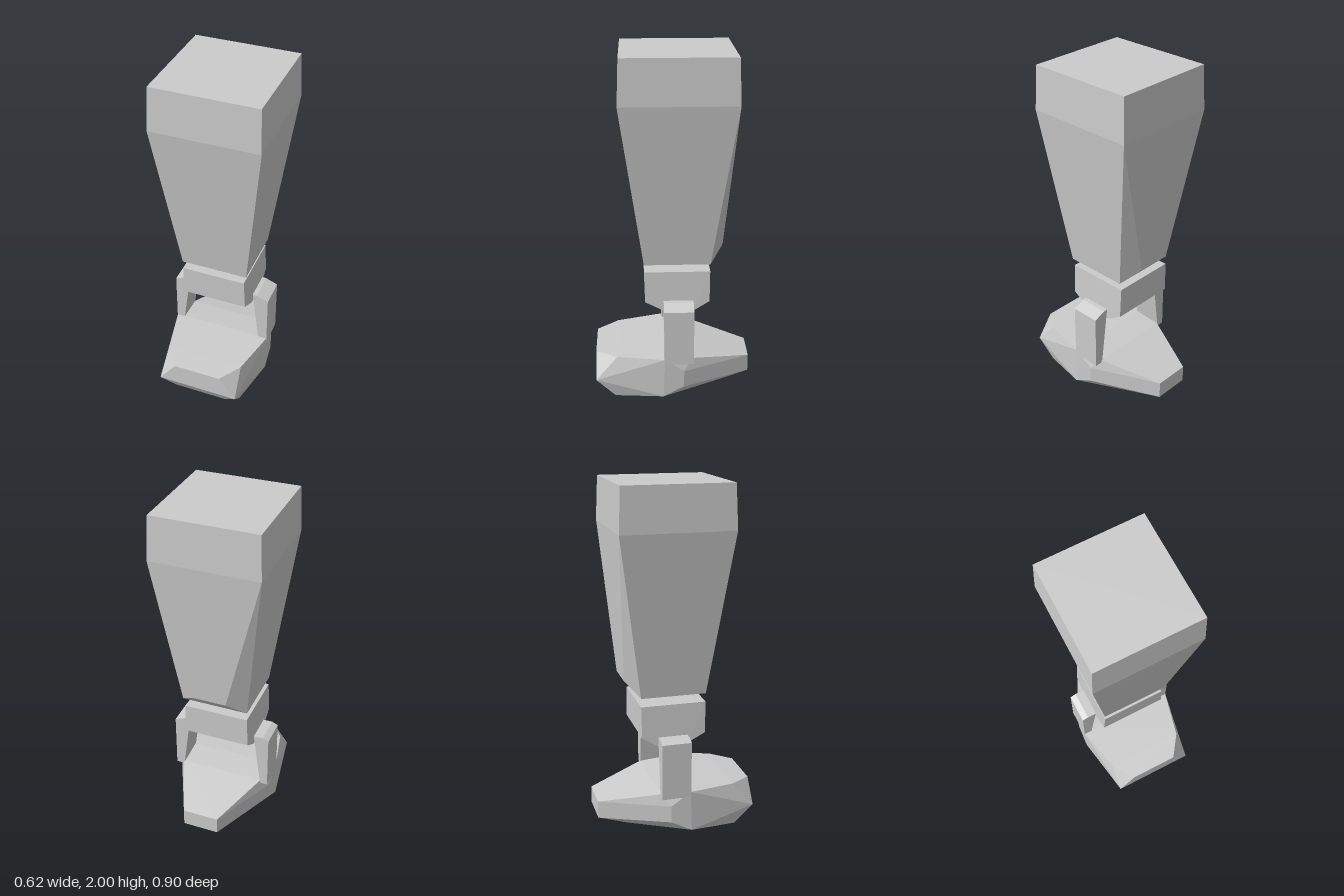
import * as THREE from 'three';
import { ConvexGeometry } from 'three/addons/geometries/ConvexGeometry.js';

const material = new THREE.MeshStandardMaterial({ color: 0xcccccc, flatShading: true });

// Faceted convex solid from its corner points
function solid(name, points) {
  const mesh = new THREE.Mesh(new ConvexGeometry(points), material);
  mesh.name = name;
  return mesh;
}

// Mirrors the corners of one half across the middle, with a small sideways shift
function mirrored(half, shift = 0) {
  return half.flatMap(([x, y, z]) => [
    new THREE.Vector3(x + shift, y, z),
    new THREE.Vector3(-x + shift, y, z),
  ]);
}

export function createModel() {
  const model = new THREE.Group();
  model.name = 'lowerLeg';

  // Shin: tapered block with a bulge low on the calf
  model.add(solid('shin', mirrored([
    [0.3, 2, 0.285], [0.3, 2, -0.335],
    [0.31, 1.75, 0.295], [0.31, 1.75, -0.345],
    [0.195, 0.82, 0.165], [0.195, 0.82, -0.21],
    [0.095, 0.9, -0.285],
  ])));

  // Ankle: block with its lower front and back edges cut away
  model.add(solid('ankle', mirrored([
    [0.188, 0.77, 0.165], [0.188, 0.77, -0.21],
    [0.196, 0.588, 0.16], [0.196, 0.588, -0.208],
    [0.2, 0.535, 0.055], [0.2, 0.535, -0.12],
  ], -0.006)));

  // Struts: upright plates either side of the ankle, each with its own top
  const struts = {
    leftStrut: [[0.2, 0.6], [0.225, 0.598], [0.295, 0.57], [0.295, 0.24], [0.245, 0.24]],
    rightStrut: [[-0.205, 0.585], [-0.26, 0.585], [-0.295, 0.57], [-0.295, 0.24], [-0.25, 0.24]],
  };
  for (const [name, profile] of Object.entries(struts)) {
    model.add(solid(name, profile.flatMap(([x, y]) =>
      [0.055, -0.115].map((z) => new THREE.Vector3(x, y, z)))));
  }

  // Foot: broad faceted toe, widest under the struts, narrow heel
  model.add(solid('foot', mirrored([
    [0.14, 0.25, 0.45], [0.24, 0.115, 0.45],
    [0.16, 0.03, 0.4], [0.23, 0.005, 0.34],
    [0.23, 0.26, 0.325], [0.2, 0.005, 0.12],
    [0.295, 0.03, 0.06], [0.295, 0.27, 0.05],
    [0.288, 0.09, -0.06], [0.288, 0.19, -0.06],
    [0.25, 0.255, -0.11], [0.14, 0.045, -0.28],
    [0.105, 0.185, -0.45], [0.105, 0.083, -0.45],
    [0.2, 0, 0.3],
  ])));

  return model;
}
